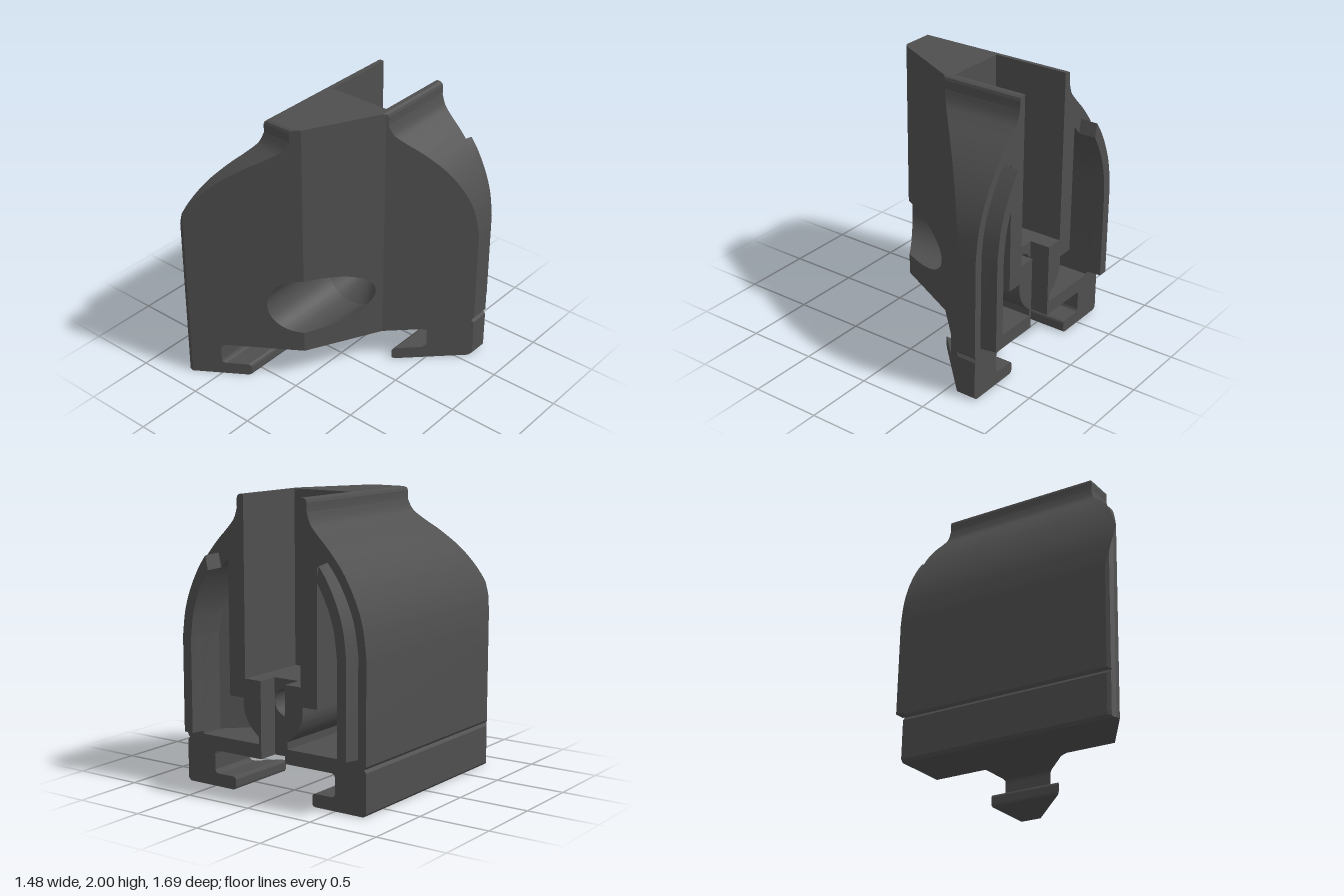
import * as THREE from 'three';
import { toCreasedNormals } from 'three/addons/utils/BufferGeometryUtils.js';

const V = (x, y) => new THREE.Vector2(x, y);
const BACK = -0.73, CHANNEL = -0.18, SLOT = -0.58;

// Half outline: neck, arched side, side groove and T-slot
const arch = new THREE.SplineCurve([[0.283, 1.91], [0.31, 1.836], [0.37, 1.767], [0.457, 1.68],
  [0.563, 1.55], [0.653, 1.39], [0.71, 1.23], [0.738, 1.05]].map((p) => V(...p)));
const N = 36;
const upper = [V(0.26, 2), V(0.277, 1.99), V(0.283, 1.97), ...arch.getPoints(N)];
const half = [...upper,
  ...[[0.74, 1], [0.74, 0.33], [0.725, 0.31], [0.74, 0.29], [0.74, 0.02], [0.72, 0], [0.34, 0],
    [0.325, 0.007], [0.32, 0.02], [0.32, 0.07], [0.325, 0.083], [0.34, 0.09], [0.475, 0.09],
    [0.493, 0.097], [0.5, 0.115], [0.5, 0.225], [0.493, 0.243], [0.475, 0.25]].map((p) => V(...p))];

// Arch moved inwards by d, from the neck down
const inset = (d) => Array.from({ length: N + 1 }, (_, i) => {
  const p = arch.getPoint(i / N), t = arch.getTangent(i / N);
  return V(p.x + t.y * d, p.y - t.x * d);
});

// Piecewise linear lookup
const lerpTable = (table, v) => {
  for (let i = 1; i < table.length; i++) {
    const [a, fa] = table[i - 1], [b, fb] = table[i];
    if (v <= b) return fa + (fb - fa) * Math.max(0, (v - a) / (b - a));
  }
  return table[table.length - 1][1];
};
// Front depth: facets of the plan, trimmed by the same arch running across
const plan = [[-0.74, 0.79], [-0.73, 0.815], [-0.71, 0.836], [-0.68, 0.842], [0, 0.4], [0.27, -0.13], [0.74, -0.59]];
const shoulder = upper.map((p) => [p.y, p.x + 0.16]).reverse();
const planZ = (x) => lerpTable(plan, x), shoulderZ = (y) => lerpTable(shoulder, y);
const front = (x, y) => Math.min(planZ(x), shoulderZ(y));

// Lines along which faces are split to follow the front; the last is the crease of the shoulder
const cuts = [
  ...[-0.73, -0.71, -0.68, -0.23, -0.1, 0, 0.1, 0.23, 0.27].map((c) => (p) => p.x - c),
  ...shoulder.map(([c]) => (p) => p.y - c),
  (p) => planZ(p.x) - shoulderZ(p.y),
];

// Add points to a closed path wherever it crosses a cut
const subdivide = (path) => cuts.reduce((pts, f) => pts.flatMap((a, i) => {
  const b = pts[(i + 1) % pts.length], da = f(a), db = f(b);
  return da * db < -1e-10 ? [a, a.clone().lerp(b, da / (da - db))] : [a];
}), path);

// Part of a polygon on one side of a cut
const clip = (poly, f, s) => poly.flatMap((a, i) => {
  const b = poly[(i + 1) % poly.length], da = s * f(a), db = s * f(b);
  const out = da >= 0 ? [a] : [];
  if (da * db < 0) out.push(a.clone().lerp(b, da / (da - db)));
  return out;
});

// Filled face at depth z(x, y); dir 1 faces forward, -1 faces back
function cap(contour, holes, z, dir) {
  const pts = [contour, ...holes].flat();
  let polys = THREE.ShapeUtils.triangulateShape(contour, holes).map((f) => f.map((i) => pts[i]));
  for (const f of cuts) {
    polys = polys.flatMap((p) => [clip(p, f, 1), clip(p, f, -1)])
      .filter((p) => p.length > 2 && Math.abs(THREE.ShapeUtils.area(p)) > 1e-8);
  }
  const out = [];
  for (const p of polys) {
    const q = THREE.ShapeUtils.area(p) * dir > 0 ? p : [...p].reverse();
    for (let i = 1; i < q.length - 1; i++)
      for (const v of [q[0], q[i], q[i + 1]]) out.push(v.x, v.y, z(v.x, v.y));
  }
  return out;
}

// Wall along a path; its surface faces to the left of the direction of travel
function wall(path, zBack, zFront, closed = true) {
  const out = [], n = closed ? path.length : path.length - 1;
  for (let i = 0; i < n; i++) {
    const a = path[i], b = path[(i + 1) % path.length];
    const z0 = zBack((a.x + b.x) / 2, (a.y + b.y) / 2);
    const a1 = zFront(a.x, a.y), b1 = zFront(b.x, b.y);
    out.push(a.x, a.y, z0, a.x, a.y, a1, b.x, b.y, b1, a.x, a.y, z0, b.x, b.y, b1, b.x, b.y, z0);
  }
  return out;
}

const at = (z) => () => z;
const mirror = (path, s) => (s > 0 ? path : path.map((p) => V(-p.x, p.y)).reverse());
const rect = (w, y0, y1) => [V(-w, y0), V(w, y0), V(w, y1), V(-w, y1)];
const HOLE_Y = 0.62, WIDEN = 1.14;
const arc = (r, from, to, n) => Array.from({ length: n }, (_, i) => {
  const a = from + (to - from) * i / n;
  return V(r * Math.cos(a), HOLE_Y + r * Math.sin(a));
});
const circle = (r) => arc(r, 0, 2 * Math.PI, 48);

export function createModel() {
  const group = new THREE.Group();
  const material = new THREE.MeshStandardMaterial({ color: 0x4f4f4f, side: THREE.DoubleSide });
  const add = (name, geometry) => {
    const mesh = new THREE.Mesh(geometry, material);
    mesh.name = name;
    group.add(mesh);
  };
  const skin = (name, ...lists) => {
    const g = new THREE.BufferGeometry();
    g.setAttribute('position', new THREE.Float32BufferAttribute(lists.flat(), 3));
    add(name, toCreasedNormals(g, 0.28));
  };

  // Outer skin, left open where the channel and the back slot break through
  const outline = subdivide([...half, ...mirror(half, -1)]);
  const start = (x, y) => (y > 1.999 && Math.abs(x) < 0.23 ? CHANNEL
    : Math.abs(y - 0.25) < 1e-3 && Math.abs(x) < 0.1 ? SLOT : BACK);
  skin('outerShell', wall(outline, start, front));

  // Faceted front with the screw recess, slightly widened on the left
  const recess = subdivide(circle(0.215).map((p) => V(p.x > 0 ? p.x * WIDEN : p.x, p.y)));
  skin('frontFace', cap(outline, [recess], front, 1));
  skin('screwRecess', wall(recess, at(-0.1), front));
  const bore = new THREE.LatheGeometry([V(0.215, -0.1), V(0.1, -0.28), V(0.1, -0.28), V(0.097, SLOT)], 48)
    .rotateX(Math.PI / 2);
  const bp = bore.attributes.position;
  for (let i = 0; i < bp.count; i++)
    if (bp.getZ(i) > -0.11 && bp.getX(i) > 0) bp.setX(i, bp.getX(i) * WIDEN);
  add('screwHole', bore.translate(0, HOLE_Y, 0));

  // Central channel and the slot below it
  skin('channelFront', cap(rect(0.23, 0.78, 2), [], at(CHANNEL), -1));
  skin('slotFront', cap(rect(0.1, 0.25, 0.78), [circle(0.097)], at(SLOT), -1));
  skin('channelFloor', wall([V(-0.1, 0.78), V(0.1, 0.78)], at(SLOT), at(CHANNEL), false));

  for (const s of [1, -1]) {
    const slotSide = mirror([V(0.1, 0.25), V(0.1, 0.78)], s);
    const channelSide = mirror([V(0.1, 0.78), V(0.23, 0.78), V(0.23, 2)], s);
    skin('slotSide', wall(slotSide, at(BACK), at(SLOT), false));
    skin('channelSide', wall(channelSide, at(BACK), at(CHANNEL), false));

    // Hollow between arch and channel, rounded about the screw boss, open at the back
    const hollow = subdivide(mirror([V(0.36, 0.65), ...arc(0.245, 0.12, -1.05, 8), V(0.12, 0.4),
      V(0.12, 0.35), V(0.6, 0.35), ...inset(0.14).filter((p) => p.x > 0.36).reverse()], s));
    const depth = (x, y) => Math.max(-0.7, front(x, y) - 0.1);
    skin('hollow', wall(hollow, at(BACK), depth), cap(hollow, [], depth, -1));

    // Back rim
    const rim = mirror([V(0.1, 0.25), V(0.1, 0.78), V(0.23, 0.78), V(0.23, 2), ...half], s);
    skin('backRim', cap(subdivide(rim), [hollow], at(BACK), -1));

    // Curved locating tongue, flush with the hollow and drafted towards its tip
    const edge = (d) => [...inset(d).filter((p) => p.y < 1.62 && p.x > 0.42), V(0.74 - d, 0.37)];
    const tongue = new THREE.Shape(mirror([...edge(0.06), ...edge(0.14).reverse()], s));
    const g = new THREE.ExtrudeGeometry(tongue, { depth: 0.115, bevelEnabled: false });
    const tp = g.attributes.position;
    for (let i = 0; i < tp.count; i++) if (tp.getZ(i) < 0.01)
      tp.setXY(i, s * 0.58 + (tp.getX(i) - s * 0.58) * 0.88, 1 + (tp.getY(i) - 1) * 0.985);
    add('tongue', toCreasedNormals(g.translate(0, 0, BACK - 0.115), 0.4));
  }
  return group;
}
